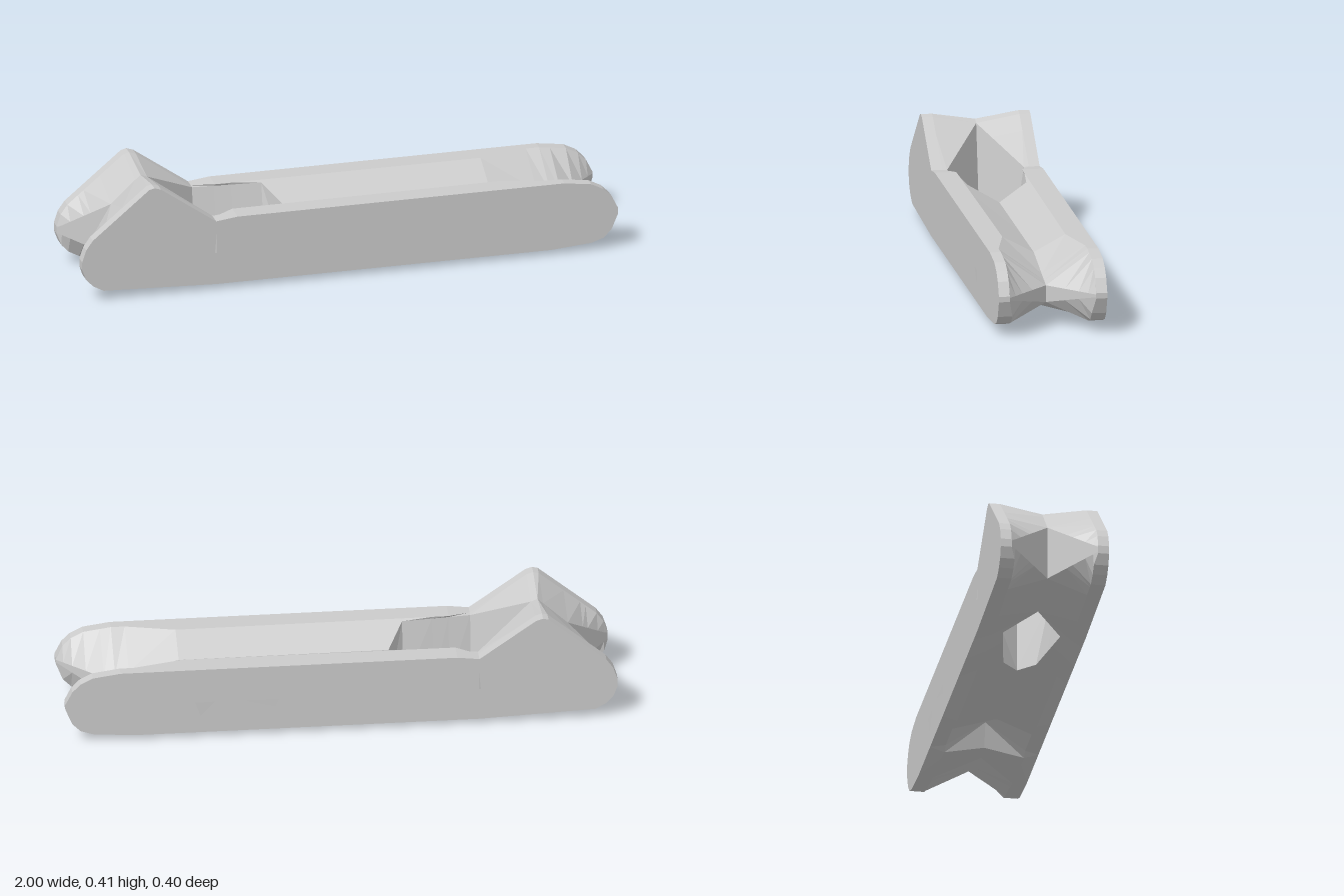
import * as THREE from 'three';

const WIDTH = 0.198;
const NOSE = 0.84;

// Piecewise-linear profiles along x, each point being [x, value]
const top = [[-1, 0.155], [-0.985, 0.2], [-0.96, 0.235], [-0.75, 0.41], [-0.73, 0.415], [-0.705, 0.407],
  [-0.5, 0.262], [-0.42, 0.272], [0.8, 0.272], [0.9, 0.258], [0.945, 0.235], [0.975, 0.205], [1, 0.155]];
const bottom = [[-1, 0.125], [-0.985, 0.085], [-0.96, 0.058], [-0.92, 0.036], [-0.5, 0.018],
  [0.75, 0.018], [0.9, 0.03], [0.945, 0.045], [0.975, 0.075], [1, 0.135]];
// Depth of the feet below the bottom edge
const foot = [[-0.9, 0], [-0.42, 0.015], [-0.36, 0.015], [-0.25, 0.005], [-0.1, 0.018],
  [0.235, 0.018], [0.24, 0], [0.48, 0], [0.505, 0.017], [NOSE, 0]];
const rimZ = [[-0.5, 0.158], [-0.42, 0.12], [0.57, 0.115], [0.75, 0.158]];
// Half-width of the window at its top and bottom
const windowTop = [[-0.705, 0], [-0.5, 0.14], [-0.25, 0.108], [-0.19, 0]];
const windowBottom = [[-0.64, 0], [-0.5, 0.105], [-0.25, 0.06], [-0.19, 0]];
// Height of the trough and of the underside at the middle
const trough = [[-1, 0.15], [-NOSE, 0.287], [-0.73, 0.39], [-0.705, 0.38], [-0.5, 0.261],
  [-0.25, 0.266], [-0.19, 0.21], [0.57, 0.21], [NOSE, 0.152], [1, 0.15]];
const underside = [[-1, 0.13], [-NOSE, 0.085], [-0.5, 0.018], [0.235, 0.018], [0.34, 0.12],
  [0.48, 0.12], [0.505, 0.03], [0.57, 0.02], [NOSE, 0.09], [1, 0.14]];

function valueAt(profile, x) {
  const i = profile.findIndex((p) => p[0] >= x);
  if (i < 0) return profile[profile.length - 1][1];
  if (i === 0) return profile[0][1];
  const [x0, v0] = profile[i - 1];
  const [x1, v1] = profile[i];
  return v0 + ((v1 - v0) * (x - x0)) / (x1 - x0);
}

// Half cross-section, from the outer bottom corner over the rim to the foot
function crossSection(x) {
  const notch = (Math.max(0, Math.abs(x) - NOSE) / (1 - NOSE)) * 0.157;
  const highZ = notch + valueAt(windowTop, x);
  const lowZ = notch + valueAt(windowBottom, x);
  const t = valueAt(top, x);
  const b = valueAt(bottom, x);
  return [
    [x, b, WIDTH], [x, t, WIDTH], [x, t, valueAt(rimZ, x)],
    [x, valueAt(trough, x), highZ], [x, valueAt(underside, x), lowZ],
    [x, b - valueAt(foot, x), Math.max(0.145, lowZ + 0.001)],
  ];
}

// One closed half of the body, lofted through a section at every profile point
function halfBody(sign) {
  const profiles = [top, bottom, foot, rimZ, windowTop, windowBottom, trough, underside];
  const stations = [...new Set(profiles.flat().map((p) => p[0]))].sort((a, b) => a - b);
  const loops = stations.map(crossSection);
  const positions = [];
  const tri = (a, b, c) => {
    for (const p of sign > 0 ? [a, b, c] : [a, c, b]) positions.push(p[0], p[1], p[2] * sign);
  };
  for (let i = 0; i < loops.length - 1; i++) {
    for (let j = 0; j < 6; j++) {
      const k = (j + 1) % 6;
      tri(loops[i][j], loops[i + 1][j], loops[i + 1][k]);
      tri(loops[i][j], loops[i + 1][k], loops[i][k]);
    }
  }
  // End caps
  const first = loops[0];
  const last = loops[loops.length - 1];
  for (let j = 1; j < 5; j++) {
    tri(first[0], first[j], first[j + 1]);
    tri(last[0], last[j + 1], last[j]);
  }
  return positions;
}

// Small tilted facet on the flat side, its last corner standing slightly proud
function sideFacet(corners, sign) {
  return corners.flatMap(([x, y], i) => [x, y, sign * (i === 2 ? 0.2 : WIDTH + 0.0005)]);
}

export function createModel() {
  const model = new THREE.Group();
  model.name = 'body';
  const solid = new THREE.MeshStandardMaterial({ color: 0xcccccc, flatShading: true });
  const thin = new THREE.MeshStandardMaterial({ color: 0xcccccc, flatShading: true, side: THREE.DoubleSide });
  const add = (name, positions, material) => {
    const geometry = new THREE.BufferGeometry();
    geometry.setAttribute('position', new THREE.Float32BufferAttribute(positions, 3));
    geometry.computeVertexNormals();
    const mesh = new THREE.Mesh(geometry, material);
    mesh.name = name;
    model.add(mesh);
  };
  for (const sign of [1, -1]) {
    const side = sign > 0 ? 'front' : 'back';
    add(side + 'Half', halfBody(sign), solid);
    add(side + 'LongFacet', sideFacet([[0.225, 0.14], [0.24, 0.108], [0.36, 0.14]], sign), thin);
    add(side + 'ShortFacet', sideFacet([[0.46, 0.14], [0.51, 0.085], [0.53, 0.14]], sign), thin);
    add(side + 'Slit', sideFacet([[-0.505, 0.14], [-0.498, 0.212], [-0.498, 0.14]], sign), thin);
  }
  return model;
}
